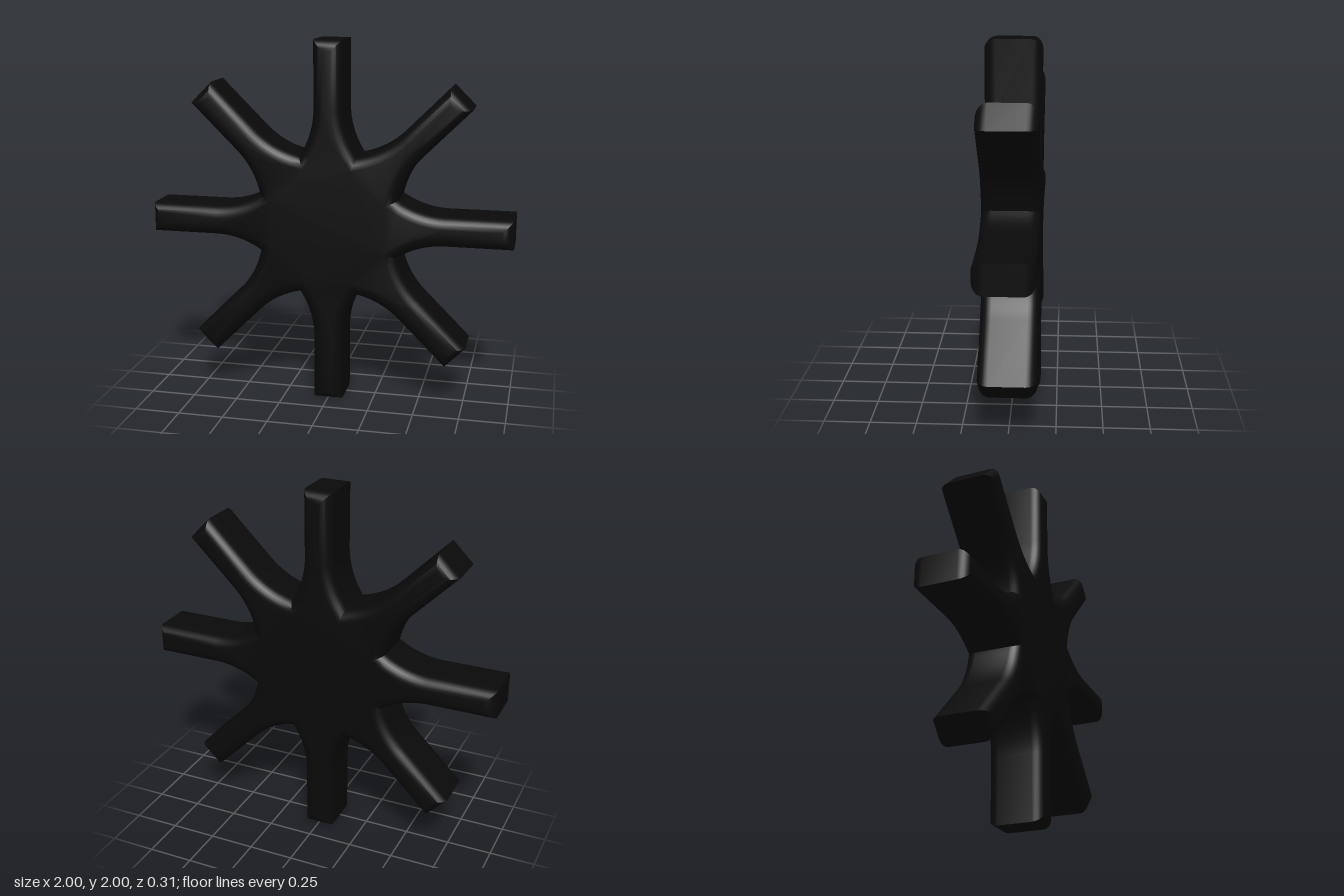
import * as THREE from 'three';
import { toCreasedNormals } from 'three/addons/utils/BufferGeometryUtils.js';

const SPOKES = 8, TIP = 1, HALF_WIDTH = 0.081, DEPTH = 0.31, ROUND = 0.06;
const FLARE_START = 0.64;            // distance from the hub where a spoke begins to widen
const VALLEY = 0.382;                // distance along a spoke where neighbours meet
const STEPS = 10;

// Outline of all spokes, each flaring along an arc into its neighbours
function starShape() {
  const valleyHalf = VALLEY * Math.tan(Math.PI / SPOKES);
  const run = FLARE_START - VALLEY, rise = valleyHalf - HALF_WIDTH;
  const R = (run * run + rise * rise) / (2 * rise);
  const side = [];                   // [distance, half width] from valley to tip
  for (let i = 0; i <= STEPS; i++) {
    const l = run * (1 - i / STEPS);
    side.push([FLARE_START - l, HALF_WIDTH + R - Math.sqrt(R * R - l * l)]);
  }
  side.push([TIP, HALF_WIDTH]);

  const points = [];
  for (let k = 0; k < SPOKES; k++) {
    const a = (k * 2 * Math.PI) / SPOKES, c = Math.cos(a), s = Math.sin(a);
    const add = (r, w) => points.push(new THREE.Vector2(r * c - w * s, r * s + w * c));
    side.forEach(([r, w]) => add(r, -w));
    // the far valley belongs to the next spoke
    side.slice(1).reverse().forEach(([r, w]) => add(r, w));
  }
  return new THREE.Shape(points);
}

export function createModel() {
  const group = new THREE.Group();
  group.name = 'spokedStar';

  // Thick star with rounded front and back edges
  const geometry = new THREE.ExtrudeGeometry(starShape(), {
    depth: DEPTH - 2 * ROUND,
    bevelEnabled: true,
    bevelThickness: ROUND,
    bevelSize: ROUND,
    bevelOffset: -ROUND,
    bevelSegments: 6,
  });
  geometry.translate(0, 1, -(DEPTH - 2 * ROUND) / 2);

  const star = new THREE.Mesh(
    toCreasedNormals(geometry, 0.6),
    new THREE.MeshStandardMaterial({ color: 0x0a0a0a })
  );
  star.name = 'starBody';
  group.add(star);
  return group;
}
